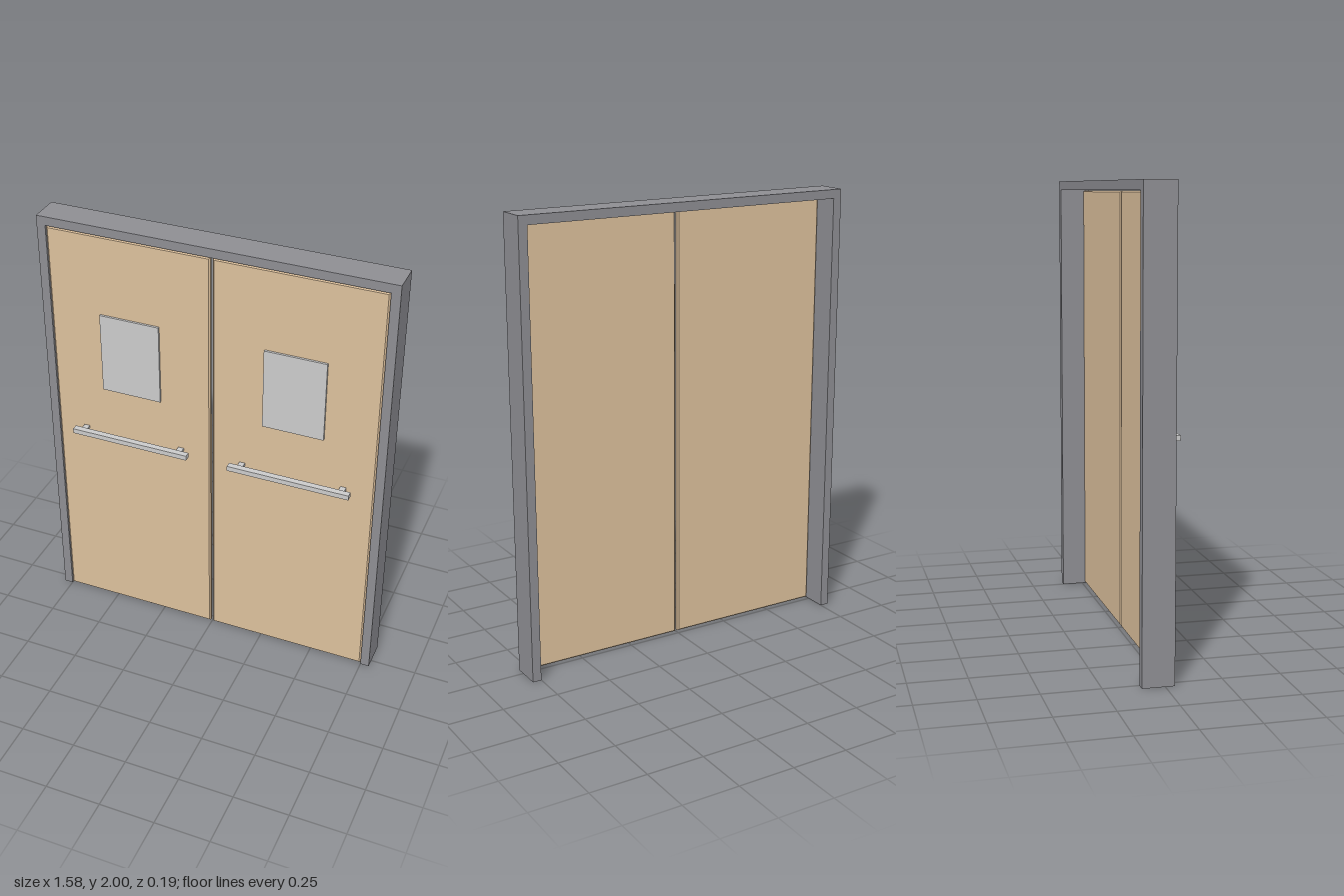
import * as THREE from 'three';

const metal = new THREE.MeshStandardMaterial({ color: 0xcccccc });
const frameMaterial = new THREE.MeshStandardMaterial({ color: 0x8e8e93 });
const wood = new THREE.MeshStandardMaterial({ color: 0xdcc09c });

// Box given by its minimum and maximum corners
function box(name, material, [x0, y0, z0], [x1, y1, z1]) {
  const mesh = new THREE.Mesh(new THREE.BoxGeometry(x1 - x0, y1 - y0, z1 - z0), material);
  mesh.position.set((x0 + x1) / 2, (y0 + y1) / 2, (z0 + z1) / 2);
  mesh.name = name;
  return mesh;
}

// Surround: two jambs and a head, open at the floor
function createFrame() {
  const W = 0.79, w = 0.75, H = 2, h = 1.96;
  const outline = [[-W, 0], [-w, 0], [-w, h], [w, h], [w, 0], [W, 0], [W, H], [-W, H]];
  const shape = new THREE.Shape(outline.map(([x, y]) => new THREE.Vector2(x, y)));
  const geometry = new THREE.ExtrudeGeometry(shape, { depth: 0.137, bevelEnabled: false });
  const frame = new THREE.Mesh(geometry, frameMaterial);
  frame.position.z = -0.097;
  frame.name = 'doorFrame';
  return frame;
}

// Door panel with a narrow chamfer on every edge
function createPanel() {
  const x0 = 0.006, x1 = 0.748, y0 = 0.004, y1 = 1.957, b = 0.006;
  const shape = new THREE.Shape([
    new THREE.Vector2(x0 + b, y0 + b), new THREE.Vector2(x1 - b, y0 + b),
    new THREE.Vector2(x1 - b, y1 - b), new THREE.Vector2(x0 + b, y1 - b),
  ]);
  const geometry = new THREE.ExtrudeGeometry(shape, {
    depth: 0.013, bevelEnabled: true, bevelSize: b, bevelThickness: b, bevelSegments: 1,
  });
  const panel = new THREE.Mesh(geometry, wood);
  panel.position.z = 0.019;
  panel.name = 'doorPanel';
  return panel;
}

// One leaf on the +x side; side = -1 mirrors the placement
function createLeaf(side) {
  const leaf = new THREE.Group();
  leaf.name = side > 0 ? 'leftDoor' : 'rightDoor';
  leaf.add(createPanel());
  leaf.add(box('window', metal, [0.238, 1.21, 0.034], [0.514, 1.585, 0.048]));

  // Push bar on two short posts
  leaf.add(box('pushBar', metal, [0.097, 0.969, 0.069], [0.653, 0.992, 0.097]));
  for (const x of [0.146, 0.611]) {
    leaf.add(box('barPost', metal, [x - 0.013, 0.974, 0.034], [x + 0.013, 0.987, 0.07]));
  }

  // Every part is symmetric about its own centre, so mirroring is a shift or sign flip
  if (side < 0) {
    for (const part of leaf.children) {
      if (part.name === 'doorPanel') part.position.x = -0.754;
      else part.position.x *= -1;
    }
  }
  return leaf;
}

export function createModel() {
  const model = new THREE.Group();
  model.name = 'doubleDoor';
  model.add(createFrame(), createLeaf(1), createLeaf(-1));
  return model;
}
